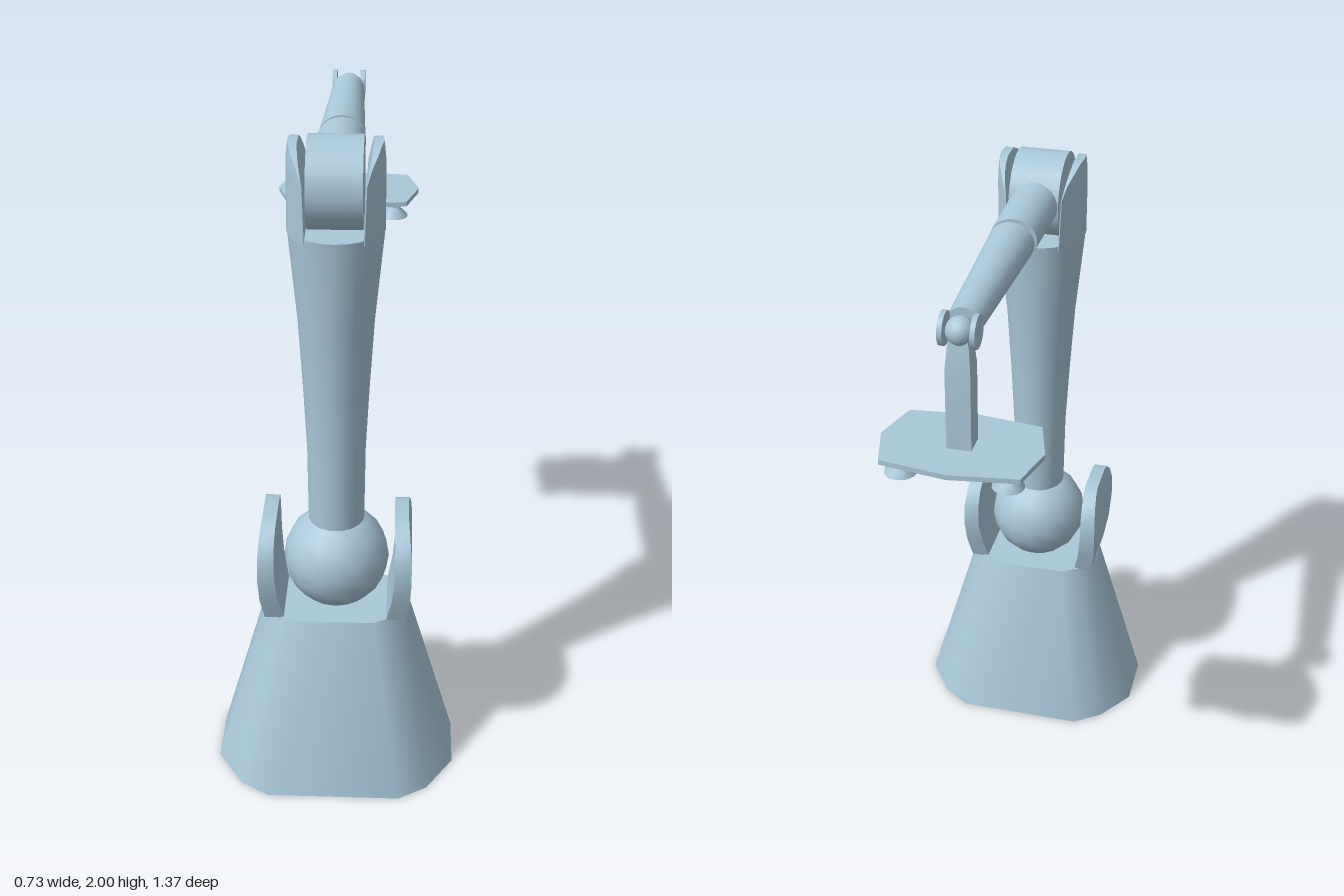
import * as THREE from 'three';
import { toCreasedNormals } from 'three/addons/utils/BufferGeometryUtils.js';

// Skin a stack of horizontal rings (counter-clockwise from above) and cap both ends.
function loft(rings) {
  const n = rings[0].length;
  const pos = rings.flat(2);
  const index = [];
  for (let i = 0; i < rings.length - 1; i++) {
    for (let j = 0; j < n; j++) {
      const k = (j + 1) % n;
      const a = i * n + j, b = i * n + k, c = b + n, d = a + n;
      index.push(a, b, c, a, c, d);
    }
  }
  [0, rings.length - 1].forEach((r, end) => {
    const centre = [0, 1, 2].map(c => rings[r].reduce((s, p) => s + p[c], 0) / n);
    const m = pos.length / 3;
    pos.push(...centre);
    for (let j = 0; j < n; j++) {
      const a = r * n + j, b = r * n + (j + 1) % n;
      if (end) index.push(m, a, b); else index.push(m, b, a);
    }
  });
  const g = new THREE.BufferGeometry();
  g.setAttribute('position', new THREE.Float32BufferAttribute(pos, 3));
  g.setIndex(index);
  return toCreasedNormals(g, 0.7);
}

const mirrorRings = rings => rings.map(r => r.map(([x, y, z]) => [-x, y, z]).reverse());

// Full ring from its right half, listed front to back
const symmetricRing = (half, y, z0, sx = 1, sz = 1) => {
  const right = half.map(([x, z]) => [x * sx, y, z0 + z * sz]);
  const left = half.filter(([x]) => x > 0).reverse().map(([x, z]) => [-x * sx, y, z0 + z * sz]);
  return [...right, ...left];
};

export function createModel() {
  const group = new THREE.Group();
  const paint = new THREE.MeshStandardMaterial({ color: 0xa9c8da });
  paint.name = 'pale blue paint';

  const add = (name, geometry, x = 0, y = 0, z = 0) => {
    const mesh = new THREE.Mesh(geometry, paint);
    mesh.name = name;
    mesh.position.set(x, y, z);
    group.add(mesh);
    return mesh;
  };
  const addPair = (name, rings) => {
    add(name + 'Left', loft(rings));
    add(name + 'Right', loft(mirrorRings(rings)));
  };

  const Z = 0.41; // column axis

  // Tapered pedestal
  const foot = [[0.2, 0.275], [0.285, 0.22], [0.365, 0.09], [0.365, -0.095], [0.285, -0.215], [0.2, -0.275]];
  add('pedestal', loft([
    symmetricRing(foot, 0, Z),
    symmetricRing(foot, 0.55, Z, 0.58, 0.51),
  ]));

  // Shoulder cheeks: y, z min, z max, x inner, x outer
  const cheek = [
    [0.545, 0.305, 0.525, 0.152, 0.21],
    [0.62, 0.28, 0.55, 0.168, 0.222],
    [0.70, 0.26, 0.568, 0.176, 0.226],
    [0.77, 0.262, 0.566, 0.177, 0.225],
    [0.82, 0.285, 0.54, 0.176, 0.221],
    [0.85, 0.32, 0.505, 0.174, 0.217],
    [0.86, 0.355, 0.465, 0.173, 0.215],
  ];
  addPair('shoulderCheek', cheek.map(([y, z0, z1, xi, xo]) =>
    [[xo, y, z1], [xo, y, z0], [xi, y, z0], [xi, y, z1]]));

  // Shoulder ball
  add('shoulderBall', new THREE.SphereGeometry(0.157, 16, 10), 0, 0.703, Z);

  // Upper arm flaring to the elbow: y, x radius, z radius
  const arm = [
    [0.8, 0.082, 0.086], [1.06, 0.085, 0.088], [1.26, 0.095, 0.1],
    [1.47, 0.108, 0.115], [1.75, 0.135, 0.148],
  ];
  add('upperArm', loft(arm.map(([y, rx, rz]) => Array.from({ length: 24 }, (_, i) => {
    const a = i / 24 * Math.PI * 2;
    return [rx * Math.cos(a), y, Z - rz * Math.sin(a)];
  }))));

  // Elbow forks with curved outer faces: y, half depth, x inner, x outer
  const fork = [
    [1.74, 0.13, 0.079, 0.135], [1.9, 0.126, 0.084, 0.135], [1.94, 0.108, 0.092, 0.134],
    [1.97, 0.078, 0.098, 0.131], [1.99, 0.035, 0.101, 0.128],
  ];
  addPair('elbowFork', fork.map(([y, w, xi, xo]) => {
    const ring = [];
    for (let i = 0; i <= 8; i++) {
      const z = w * (1 - i / 4);
      ring.push([Math.max(xi + 0.003, xo * Math.sqrt(1 - (z / 0.16) ** 2)), y, Z + z]);
    }
    return [...ring, [xi, y, Z - w], [xi, y, Z + w]];
  }));

  // Elbow drum between the forks
  const drum = new THREE.CylinderGeometry(0.128, 0.128, 0.152, 24).rotateZ(Math.PI / 2);
  add('elbowDrum', drum, 0, 1.872, Z);

  // Forearm segments running backwards: name, front z, back z, front radius, back radius, y squash
  const segments = [
    ['forearmRoot', 0.4, 0.04, 0.076, 0.07, 0.9],
    ['forearmCollar', 0.05, 0.01, 0.05, 0.05, 1],
    ['forearm', 0.02, -0.49, 0.068, 0.049, 0.92],
  ];
  for (const [name, z0, z1, r0, r1, sy] of segments) {
    const g = new THREE.CylinderGeometry(r1, r0, z0 - z1, 24);
    g.rotateX(-Math.PI / 2).scale(1, sy, 1);
    add(name, g, 0, 1.876, (z0 + z1) / 2);
  }

  // Wrist: forked discs, ball and hanging stem
  const W = -0.525;
  for (const s of [-1, 1]) {
    const disc = new THREE.CylinderGeometry(0.047, 0.047, 0.014, 16).rotateZ(Math.PI / 2);
    add(s > 0 ? 'wristForkLeft' : 'wristForkRight', disc, s * 0.044, 1.875, W);
  }
  add('wristBall', new THREE.SphereGeometry(0.04, 16, 12), 0, 1.872, W);
  const stem = [[1.52, 0.035, 0.034], [1.77, 0.035, 0.034], [1.83, 0.03, 0.025], [1.86, 0.025, 0.02]];
  add('wristStem', loft(stem.map(([y, x, z]) => symmetricRing([[x, z], [x, -z]], y, W))));

  // Gripper plate
  const plate = [[0, 0.158], [0.19, 0.135], [0.23, 0], [0.195, -0.135], [0, -0.163]];
  add('gripperPlate', loft([1.515, 1.53].map(y => symmetricRing(plate, y, W))));

  // Suction cups
  const cup = [[0, 0], [0.045, 0], [0.043, 0.006], [0.02, 0.028], [0.018, 0.034], [0.024, 0.046], [0, 0.046]]
    .map(([r, y]) => new THREE.Vector2(r, y));
  for (const x of [-0.15, 0.15]) {
    for (const z of [-0.43, -0.61]) {
      add('suctionCup', toCreasedNormals(new THREE.LatheGeometry(cup, 16), 0.7), x, 1.47, z);
    }
  }

  return group;
}
